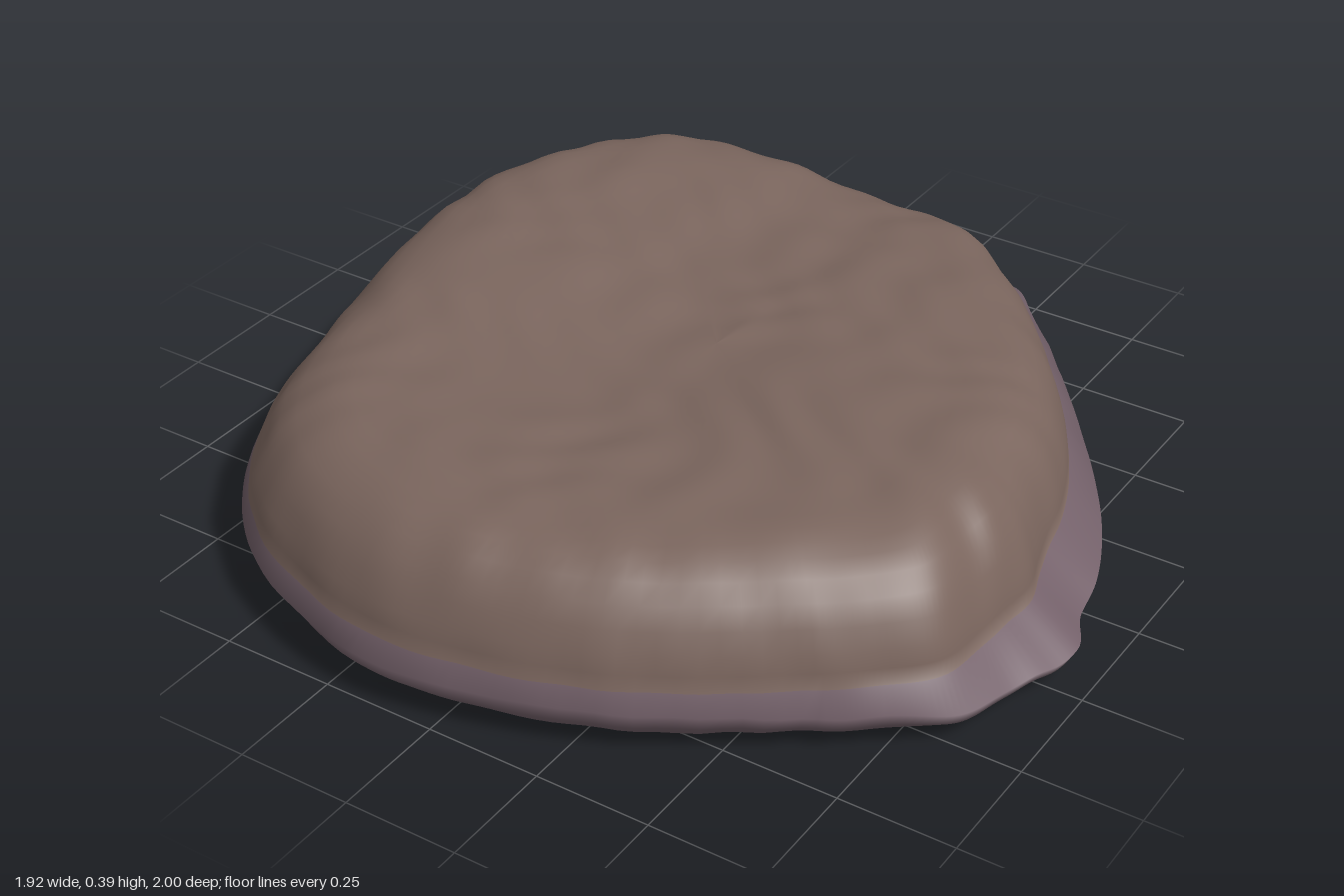
import * as THREE from 'three';

const SEGMENTS = 240;

// Outline of the rim: x, z, rim height, body size relative to the rim
const OUTLINE = [
  [0.03, -1, 0.04, 0.91], [0.21, -0.95, 0.08, 0.91], [0.33, -0.815, 0.11, 0.935], [0.44, -0.69, 0.12, 0.95],
  [0.7, -0.36, 0.12, 0.94], [0.83, -0.16, 0.11, 0.91], [0.9, 0, 0.1, 0.88], [0.92, 0.11, 0.09, 0.89],
  [0.96, 0.2, 0.08, 0.875], [0.915, 0.37, 0.085, 0.91], [0.87, 0.5, 0.09, 0.94], [0.76, 0.6, 0.1, 0.96],
  [0.66, 0.67, 0.1, 0.97], [0.34, 0.88, 0.11, 0.975], [0.03, 0.98, 0.11, 0.975], [-0.21, 0.99, 0.11, 0.975],
  [-0.55, 0.86, 0.12, 0.98], [-0.77, 0.61, 0.13, 0.985], [-0.88, 0.29, 0.14, 0.99], [-0.96, -0.1, 0.15, 0.99],
  [-0.91, -0.5, 0.15, 0.99], [-0.71, -0.82, 0.13, 0.985], [-0.58, -0.91, 0.08, 0.95], [-0.33, -0.985, 0.04, 0.915],
];

// Cross-section from the underside centre to the rim: scale, share of rim height
const UNDERSIDE = [[0.84, 0], [0.91, 0.07], [0.955, 0.27], [0.985, 0.6], [1, 1]];
for (let s = 0.8; s > -0.01; s -= 0.05) UNDERSIDE.unshift([Math.max(s, 0), 0]);

// Cross-section from the foot of the body to the top centre: scale, share of body height
const BODY = [
  [1, 0], [0.994, 0.15], [0.983, 0.3], [0.962, 0.5], [0.935, 0.67], [0.9, 0.81],
  [0.86, 0.905], [0.82, 0.955], [0.78, 0.98], [0.74, 0.995],
];
for (let s = 0.7; s > -0.01; s -= 0.035) BODY.push([Math.max(s, 0), 1]);

// Smooth, irregular surface lumps in the range -1..1
function lumps(x, y, z) {
  return (Math.sin(17 * x + 3 * Math.sin(9 * z + 4 * y)) * Math.cos(15 * z + 2 * Math.sin(11 * x))
    + 0.6 * Math.sin(31 * x - 19 * z + 23 * y + 2 * Math.sin(13 * z))) / 1.6;
}

// Soft round bump used to raise or sink an area
const bump = (x, z, cx, cz, radius) => Math.exp(-((x - cx) ** 2 + (z - cz) ** 2) / radius ** 2);

// Height changes on the top: x, z, radius, amount
const RELIEF = [
  [-0.6, -0.2, 0.5, 0.02], // raised right side
  [-0.1, 0.1, 0.3, -0.04], // sunken middle
  [-0.18, -0.35, 0.25, -0.03], // valley towards the back
  [-0.1, -0.76, 0.2, -0.04], // notch in the back edge
  [0.25, -0.75, 0.35, -0.04], // lower back corner
  [0.6, -0.35, 0.3, -0.02],
];

function buildPositions() {
  const rim = new THREE.CatmullRomCurve3(OUTLINE.map(([x, z, y]) => new THREE.Vector3(x, y, z)), true);
  const foot = new THREE.CatmullRomCurve3(
    OUTLINE.map(([x, z, y, k]) => new THREE.Vector3(x * k, 0.1 + 0.45 * y, z * k)), true);
  const positions = [];

  for (const [s, h] of UNDERSIDE) {
    for (let i = 0; i < SEGMENTS; i++) {
      const p = rim.getPoint(i / SEGMENTS);
      // The front right corner is undercut
      const tuck = 1 - 0.08 * (1 - h) * bump(p.x, p.z, -0.75, 0.65, 0.4);
      const x = p.x * s * tuck, z = p.z * s * tuck;
      positions.push(x, 0.014 + (p.y - 0.014) * h + 0.006 * lumps(x, 0, z), z);
    }
  }
  for (const [s, rise] of BODY) {
    for (let i = 0; i < SEGMENTS; i++) {
      const p = foot.getPoint(i / SEGMENTS);
      // The right-hand side slopes in more gently
      const lean = 1 - 0.09 * rise * bump(p.x, p.z, -0.95, 0.2, 0.5);
      const x = p.x * s * lean, z = p.z * s * lean;
      const top = RELIEF.reduce((sum, [cx, cz, r, amount]) => sum + amount * bump(x, z, cx, cz, r), 0.377);
      const n = lumps(x, p.y + 0.2 * rise, z);
      const swell = 1 + 0.004 * n * s;
      positions.push(x * swell, p.y + (top - p.y) * rise + 0.006 * rise * n, z * swell);
    }
  }
  return positions;
}

// Triangles joining neighbouring rings
function bandIndex(from, to) {
  const index = [];
  for (let r = from; r < to; r++) {
    for (let i = 0; i < SEGMENTS; i++) {
      const a = r * SEGMENTS + i, b = r * SEGMENTS + (i + 1) % SEGMENTS;
      const c = a + SEGMENTS, d = b + SEGMENTS;
      index.push(a, c, b, b, c, d);
    }
  }
  return index;
}

export function createModel() {
  const group = new THREE.Group();
  group.name = 'flatRoundedPatty';

  // One surface, with normals shared across all the parts
  const lastRing = UNDERSIDE.length + BODY.length - 1;
  const whole = new THREE.BufferGeometry();
  whole.setAttribute('position', new THREE.Float32BufferAttribute(buildPositions(), 3));
  whole.setIndex(bandIndex(0, lastRing));
  whole.computeVertexNormals();

  const addBand = (name, from, to, color) => {
    const geometry = whole.clone();
    geometry.setIndex(bandIndex(from, to));
    const mesh = new THREE.Mesh(geometry, new THREE.MeshStandardMaterial({ color }));
    mesh.name = name;
    group.add(mesh);
  };
  const flatEdge = UNDERSIDE.length - 5;
  addBand('underside', 0, flatEdge, 0x8c8068);
  addBand('rim', flatEdge, UNDERSIDE.length, 0x74616a);
  addBand('body', UNDERSIDE.length, lastRing, 0x7a655d);
  return group;
}
